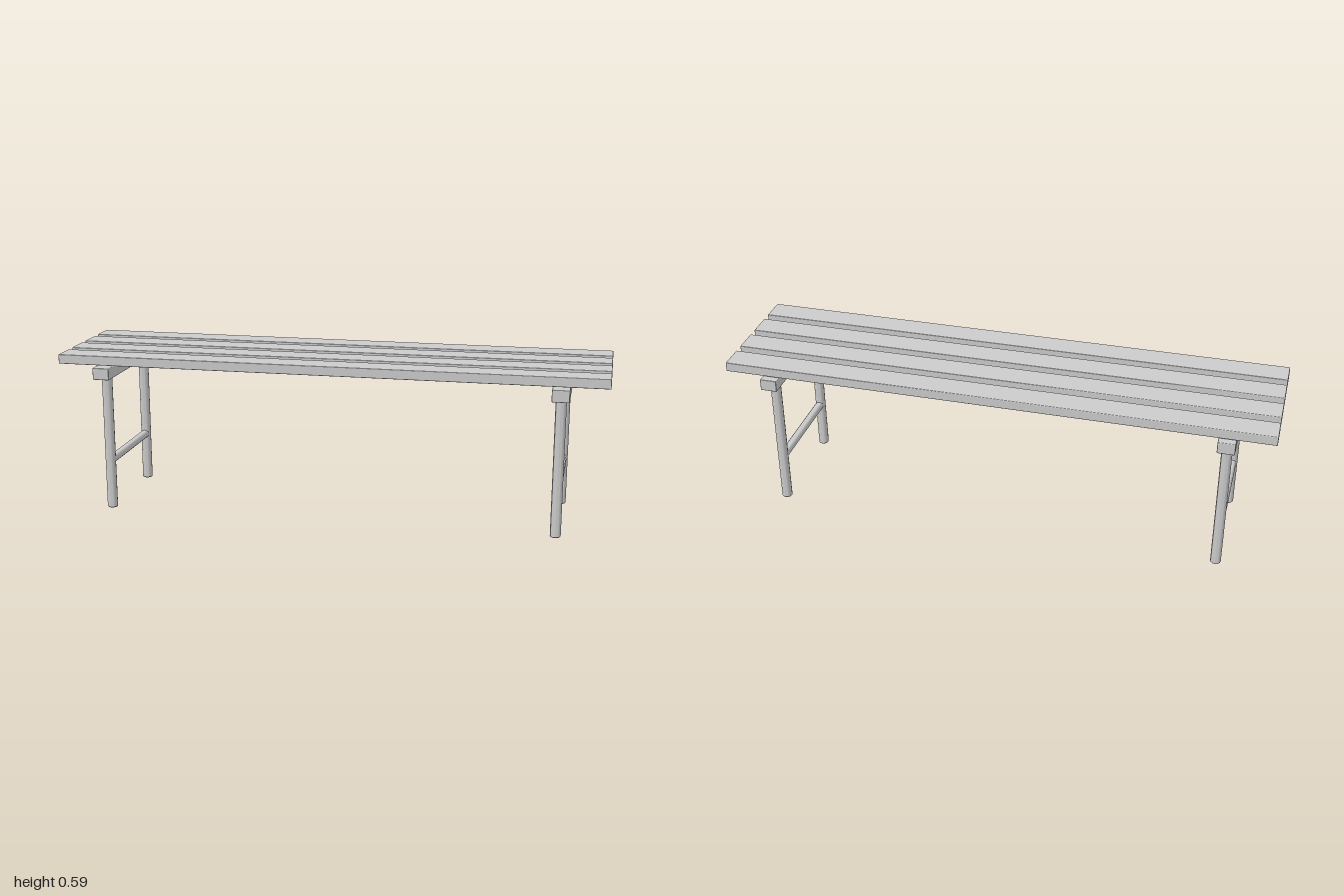
import * as THREE from 'three';
import { toCreasedNormals } from 'three/addons/utils/BufferGeometryUtils.js';
import { RoundedBoxGeometry } from 'three/addons/geometries/RoundedBoxGeometry.js';

const material = new THREE.MeshStandardMaterial({ color: 0xcccccc });

function add(parent, name, geometry, x, y, z) {
  const mesh = new THREE.Mesh(geometry, material);
  mesh.name = name;
  mesh.position.set(x, y, z);
  parent.add(mesh);
  return mesh;
}

// Round bar standing on its base, with small chamfers at both ends
function barGeometry(radius, length, chamfer = 0.003) {
  const profile = [
    [0, 0], [radius - chamfer, 0], [radius, chamfer],
    [radius, length - chamfer], [radius - chamfer, length], [0, length],
  ].map(([r, y]) => new THREE.Vector2(r, y));
  return toCreasedNormals(new THREE.LatheGeometry(profile, 12), 0.6);
}

export function createModel() {
  const bench = new THREE.Group();
  bench.name = 'bench';

  // Four seat slats
  const slat = new RoundedBoxGeometry(2, 0.035, 0.096, 2, 0.003);
  for (const z of [-0.195, -0.065, 0.065, 0.195]) add(bench, 'seatSlat', slat, 0, 0.5745, z);

  // Two end frames: crossbar, pair of legs and a rung between them
  const crossbar = new RoundedBoxGeometry(0.062, 0.044, 0.518, 2, 0.003);
  const leg = barGeometry(0.0193, 0.508);
  const rung = barGeometry(0.016, 0.39);
  for (const side of [-1, 1]) {
    const frame = new THREE.Group();
    frame.name = side > 0 ? 'leftFrame' : 'rightFrame';
    frame.position.x = side * 0.832;
    add(frame, 'crossbar', crossbar, 0, 0.528, 0);
    add(frame, 'frontLeg', leg, 0, 0, 0.196);
    add(frame, 'backLeg', leg, 0, 0, -0.196);
    add(frame, 'rung', rung, 0, 0.184, -0.195).rotation.x = Math.PI / 2;
    bench.add(frame);
  }
  return bench;
}
